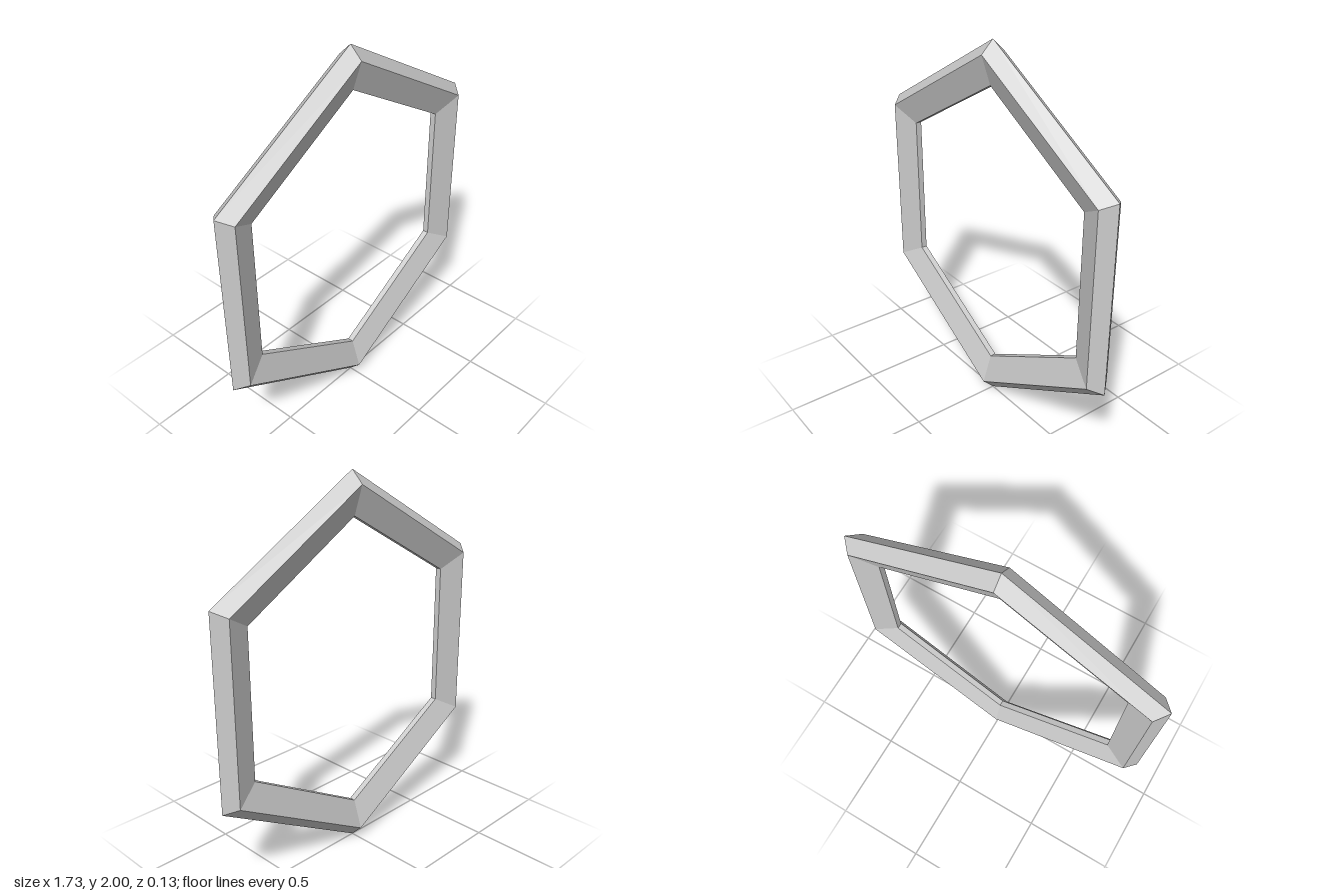
import * as THREE from 'three';

export function createModel() {
  const group = new THREE.Group();
  group.name = 'hexagonalRing';

  // Bevelled cross-section (radius, depth): outer edge, ridges, narrow inner wall
  const profile = [
    [0.78, -0.016], [0.935, -0.066], [1, 0],
    [0.935, 0.066], [0.78, 0.016], [0.78, -0.016],
  ].map(([r, d]) => new THREE.Vector2(r, d));

  // Six straight sides, swept around the depth axis with a corner at the top
  const geometry = new THREE.LatheGeometry(profile, 6);
  geometry.rotateX(Math.PI / 2);

  const material = new THREE.MeshStandardMaterial({ color: 0xcccccc, flatShading: true });
  const frame = new THREE.Mesh(geometry, material);
  frame.name = 'frame';
  frame.position.y = 1;
  group.add(frame);
  return group;
}
